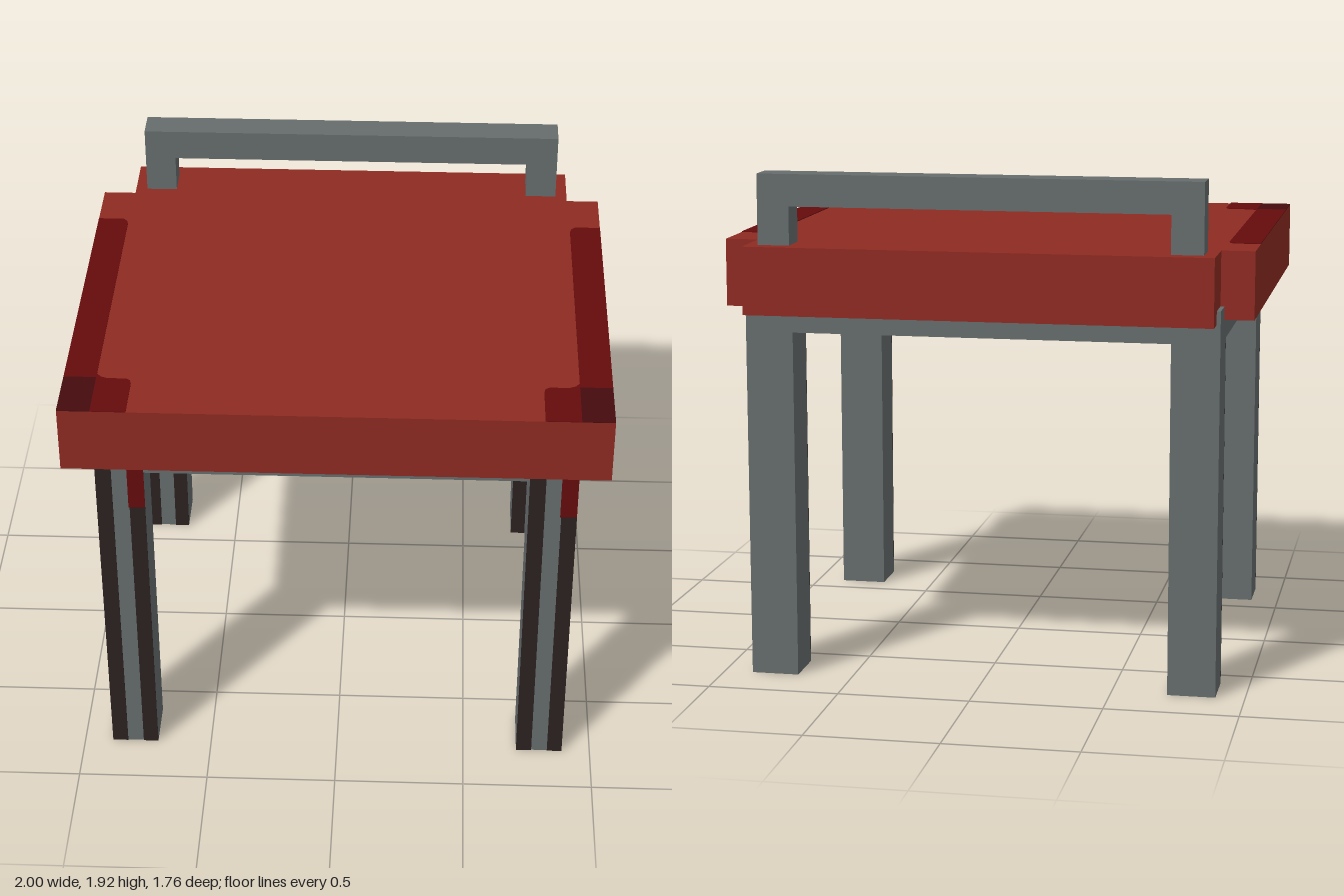
import * as THREE from 'three';

const material = (name, color) => Object.assign(new THREE.MeshStandardMaterial({ color }), { name });

export function createModel() {
  const model = new THREE.Group();
  model.name = 'chair';
  const red = material('cushion red', 0x8e2b22);
  const darkRed = material('dark red', 0x650b0d);
  const maroon = material('deep maroon', 0x450c0e);
  const grey = material('frame grey', 0x666c6c);
  const black = material('stripe black', 0x2c2121);

  const add = (parent, name, geometry, mat) => {
    const mesh = new THREE.Mesh(geometry, mat);
    mesh.name = name;
    parent.add(mesh);
    return mesh;
  };
  // Box given by its lower and upper limits on each axis
  const box = (parent, name, mat, [x0, x1], [y0, y1], [z0, z1]) => {
    const mesh = add(parent, name, new THREE.BoxGeometry(x1 - x0, y1 - y0, z1 - z0), mat);
    mesh.position.set((x0 + x1) / 2, (y0 + y1) / 2, (z0 + z1) / 2);
    return mesh;
  };
  // Horizontal slab from an outline of [x, z] points
  const slab = (parent, name, mat, points, y, height) => {
    const shape = new THREE.Shape(points.map(([x, z]) => new THREE.Vector2(x, -z)));
    const geometry = new THREE.ExtrudeGeometry(shape, { depth: height, bevelEnabled: false });
    const mesh = add(parent, name, geometry.rotateX(-Math.PI / 2), mat);
    mesh.position.y = y;
    return mesh;
  };

  // Seat, notched at the two back corners
  const half = [[1, 0.88], [1, -0.665], [0.875, -0.665], [0.875, -0.88]];
  const mirrored = half.map(([x, z]) => [-x, z]).reverse();
  slab(model, 'seat', red, [...half, ...mirrored], 1.4, 0.255);

  // Worn patches along the sides and front corners of the seat top
  for (const s of [1, -1]) {
    const side = s > 0 ? 'left' : 'right';
    const mirror = (points) => points.map(([x, z]) => [s * x, z]);
    slab(model, side + 'SeatEdge', darkRed, mirror([
      [1, 0.665], [1, -0.455], [0.9, -0.455], [0.885, -0.44], [0.88, -0.42],
      [0.88, 0.64], [0.865, 0.66], [0.84, 0.67], [0.77, 0.67], [0.755, 0.68],
      [0.75, 0.70], [0.75, 0.88], [0.88, 0.88], [0.88, 0.665],
    ]), 1.655, 0.003);
    slab(model, side + 'SeatCorner', maroon,
      mirror([[1, 0.88], [1, 0.665], [0.88, 0.665], [0.88, 0.88]]), 1.655, 0.003);
  }

  // Legs with painted stripes on their front faces
  for (const x of [-0.8, 0.8]) {
    for (const z of [-0.698, 0.702]) {
      const leg = new THREE.Group();
      leg.name = (z > 0 ? 'front' : 'back') + (x > 0 ? 'Left' : 'Right') + 'Leg';
      leg.position.set(x, 0, z);
      model.add(leg);
      const paint = [0.0925, 0.0955];
      box(leg, 'post', grey, [-0.09, 0.09], [0, 1.45], [-0.0925, 0.0925]);
      box(leg, 'outerStripe', black, [-0.09, -0.03], [0, 1.4], paint);
      box(leg, 'innerStripe', black, [0.032, 0.09], [0, 1.165], paint);
      box(leg, 'redStripe', darkRed, [0.028, 0.09], [1.165, 1.4], paint);
    }
  }

  // Rails joining the legs under the seat
  box(model, 'frontRail', grey, [-0.71, 0.71], [1.325, 1.42], [0.61, 0.795]);
  box(model, 'backRail', grey, [-0.71, 0.71], [1.325, 1.42], [-0.79, -0.605]);
  for (const x of [-0.8, 0.8]) {
    box(model, x > 0 ? 'leftRail' : 'rightRail', grey, [x - 0.09, x + 0.09], [1.325, 1.42], [-0.605, 0.61]);
  }

  // Low backrest
  box(model, 'backrestBar', grey, [-0.83, 0.83], [1.8, 1.92], [-0.82, -0.7]);
  for (const x of [-0.77, 0.77]) {
    box(model, x > 0 ? 'leftBackrestPost' : 'rightBackrestPost', grey, [x - 0.06, x + 0.06], [1.64, 1.8], [-0.82, -0.7]);
  }
  return model;
}
